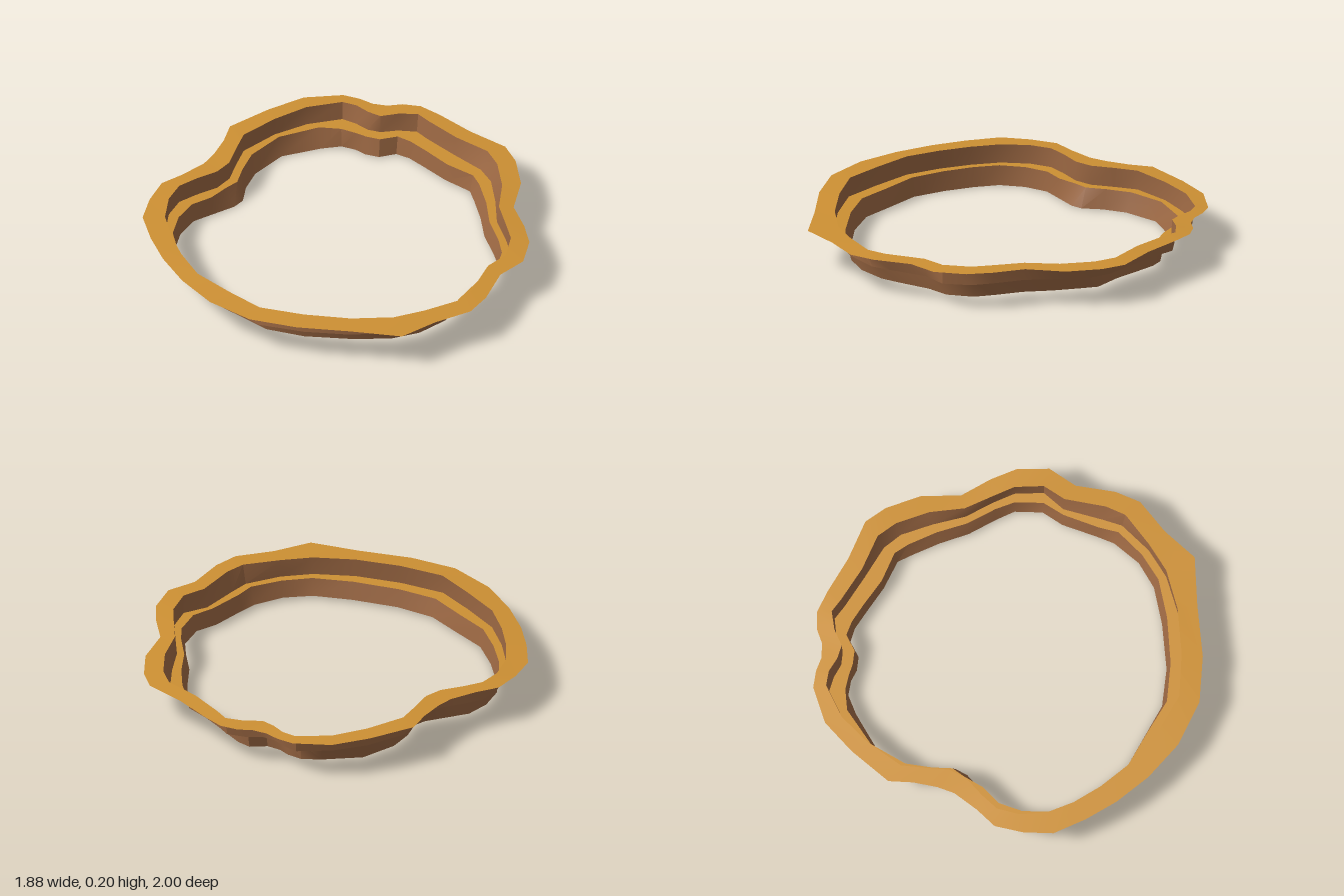
import * as THREE from 'three';
import { toCreasedNormals } from 'three/addons/utils/BufferGeometryUtils.js';

// Irregular shoreline loops: x, z pairs, starting at the back and running past +x
const OUTER = [
  .07, -1, .26, -.97, .33, -.92, .38, -.865, .445, -.83, .52, -.82, .6, -.78, .67, -.69, .78, -.52, .915, -.36,
  .935, -.24, .915, -.06, .83, .12, .84, .285, .83, .42, .76, .565, .625, .64, .51, .8, .41, .885, .22, .925,
  .035, .995, -.195, .895, -.445, .8, -.65, .68, -.8, .49, -.885, .285, -.93, .09, -.945, -.085, -.94, -.26, -.87, -.39,
  -.78, -.5, -.665, -.54, -.54, -.6, -.475, -.66, -.4, -.755, -.34, -.86, -.12, -.95];
const INNER = [
  .06, -.915, .24, -.91, .3, -.865, .34, -.8, .39, -.75, .48, -.745, .57, -.715, .605, -.645, .7, -.485, .82, -.34,
  .84, -.23, .82, -.06, .76, .105, .755, .26, .75, .37, .69, .5, .585, .56, .46, .725, .38, .79, .195, .825,
  .035, .84, -.17, .8, -.385, .715, -.58, .605, -.69, .44, -.8, .255, -.835, .08, -.845, -.08, -.835, -.23, -.78, -.365,
  -.705, -.45, -.61, -.485, -.495, -.515, -.42, -.57, -.36, -.67, -.295, -.77, -.115, -.86];
const LEDGE = [
  .11, -.86, .21, -.82, .27, -.77, .31, -.73, .37, -.69, .46, -.69, .51, -.635, .56, -.55, .635, -.41, .735, -.29,
  .745, -.21, .74, -.06, .715, .095, .72, .25, .71, .35, .645, .475, .545, .535, .41, .66, .345, .735, .19, .785,
  .04, .8, -.155, .75, -.375, .66, -.545, .555, -.645, .4, -.755, .24, -.795, .07, -.81, -.085, -.8, -.215, -.74, -.33,
  -.65, -.415, -.545, -.445, -.45, -.505, -.39, -.535, -.34, -.625, -.265, -.73, -.1, -.835];
// How far each wall leans inward by its foot, in thousandths
const UPPER_LEAN = [15, 15, 25, 20, 5, 10, 15, 15, 15, 40, 35, 35, 10, 0, 0, 0, 18, 38, 27, 0,
  0, -5, -8, -8, -5, 0, 0, 0, 0, 0, 0, 0, 0, 0, 0, 0, 0];
const LOWER_LEAN = [45, 15, 10, 20, 20, 20, 15, 15, 12, 20, 30, 30, 25, 25, 18, 20, 22, 20, 35, 20,
  25, 25, 20, 25, 18, 15, 15, 15, 10, 10, 10, 10, 45, 35, 25, 30, 30];

// Turn x, z pairs into a loop of points with a height rule
function loop(pairs, height) {
  const points = [];
  for (let i = 0; i < pairs.length; i += 2) {
    const x = pairs[i], z = pairs[i + 1];
    points.push(new THREE.Vector3(x, height(x, z), z));
  }
  return points;
}

// Foot of a wall: the top loop pulled toward the centre and lowered
function foot(top, lean, height) {
  return top.map((p, i) => {
    const k = 1 - lean[i] / 1000 / Math.hypot(p.x, p.z);
    return new THREE.Vector3(p.x * k, height(p.x, p.z), p.z * k);
  });
}

// Closed band of quads between two loops
function band(name, a, b, material) {
  const vertices = [], index = [], n = a.length;
  for (let i = 0; i < n; i++) {
    const j = (i + 1) % n;
    vertices.push(...a[i].toArray(), ...b[i].toArray());
    index.push(2 * i, 2 * i + 1, 2 * j, 2 * i + 1, 2 * j + 1, 2 * j);
  }
  const geometry = new THREE.BufferGeometry();
  geometry.setAttribute('position', new THREE.Float32BufferAttribute(vertices, 3));
  geometry.setIndex(index);
  const mesh = new THREE.Mesh(toCreasedNormals(geometry, 0.55), material);
  mesh.name = name;
  return mesh;
}

export function createModel() {
  const ochre = new THREE.MeshStandardMaterial({ color: 0xcd9033, side: THREE.DoubleSide });
  ochre.name = 'ochre ground';
  const brown = new THREE.MeshStandardMaterial({ color: 0x9c6843, side: THREE.DoubleSide });
  brown.name = 'brown earth';

  // Gently uneven rim, level ledge, slightly tilted foot
  const rimHeight = (x, z) => 0.197 + 0.005 * Math.sin(4 * x + 1) * Math.cos(4 * z);
  const outer = loop(OUTER, (x, z) => rimHeight(x, z) - 0.006);
  const inner = loop(INNER, rimHeight);
  const upperFoot = foot(inner, UPPER_LEAN, () => 0.1);
  const ledge = loop(LEDGE, () => 0.1);
  const lowerFoot = foot(ledge, LOWER_LEAN, (x, z) => 0.0085 + 0.008 * x + 0.007 * z);

  const group = new THREE.Group();
  group.name = 'steppedBank';
  group.add(
    band('rim', outer, inner, ochre),
    band('upperWall', inner, upperFoot, brown),
    band('ledge', upperFoot, ledge, ochre),
    band('lowerWall', ledge, lowerFoot, brown));
  return group;
}
